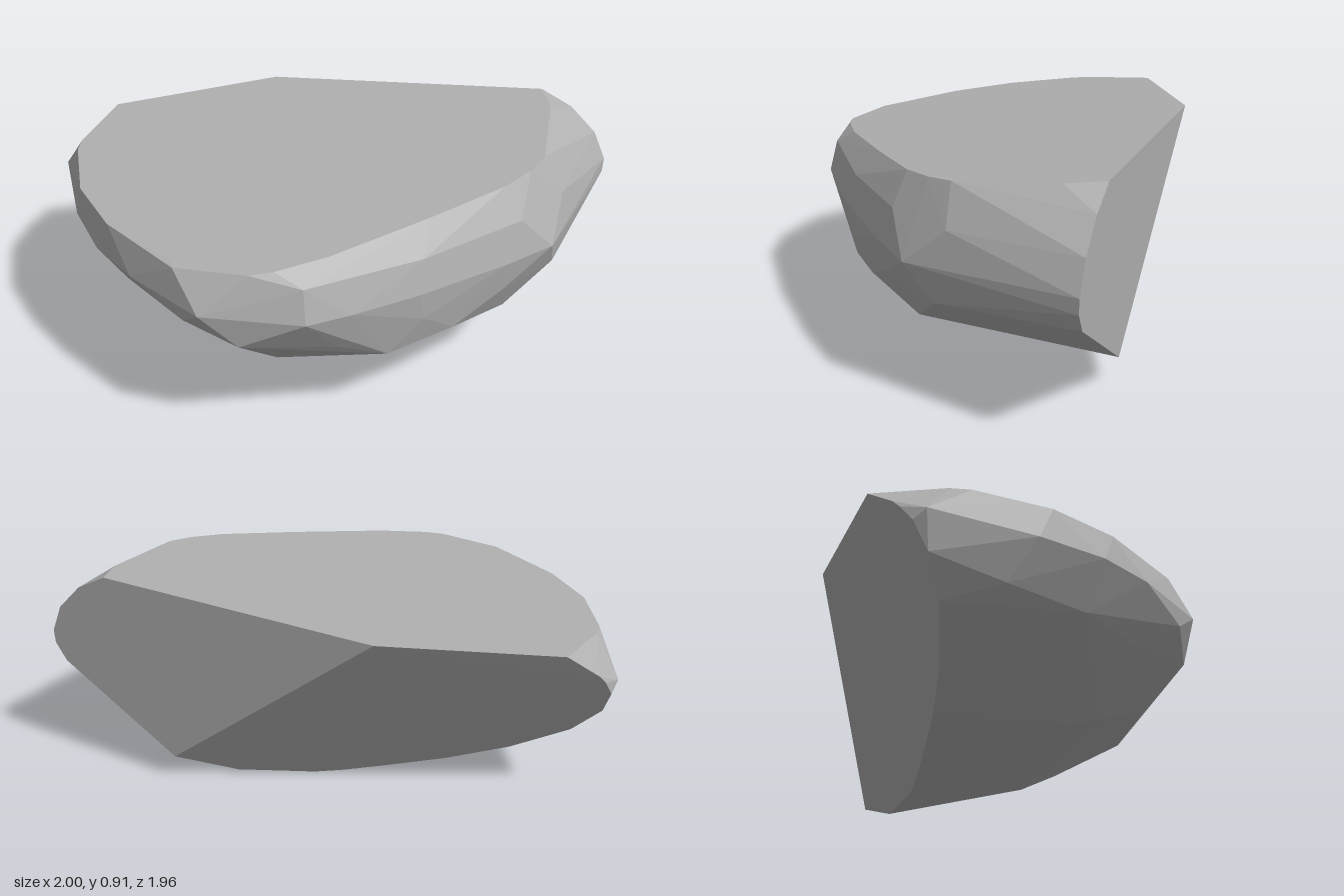
import * as THREE from 'three';
import { ConvexGeometry } from 'three/addons/geometries/ConvexGeometry.js';

const V = (x, y, z) => new THREE.Vector3(x, y, z);

// The three flat cuts of the stone, each solved for one coordinate
const onTop = ([x, z]) => V(x, 0.832 + 0.101 * x, z);
const onSideCut = ([y, z]) => V(0.558 + 0.03 * y + 0.527 * z, y, z);
const onBackCut = ([y, z]) => V(0.2155 + 0.884 * y + 1.28 * z, y, z);

// Rim of the sloping top, as x, z
const topRim = [
  [-0.28, -0.94], [0.31, -0.52], [0.87, 0.54], [0.76, 0.65], [0.58, 0.73], [0.4, 0.84],
  [0.28, 0.85], [0.13, 0.83], [-0.2, 0.72], [-0.6, 0.57], [-0.78, 0.47], [-0.85, 0.41],
  [-0.95, 0.13], [-0.93, -0.25], [-0.83, -0.53], [-0.64, -0.78], [-0.57, -0.83],
];

// Rim of the side cut, as y, z
const sideRim = [
  [0.85, 0.66], [0.74, 0.76], [0.62, 0.81], [0.56, 0.81], [0.48, 0.77], [0.41, 0.68], [0.12, 0.32],
];

// Rim of the undercut back, as y, z
const backRim = [
  [0.69, -0.98], [0.65, -0.983], [0.58, -0.975], [0.47, -0.92], [0.34, -0.8], [0.21, -0.6],
  [0.12, -0.4], [0.055, -0.2], [0.02, -0.08], [0.005, 0], [0.02, 0.2],
];

// Widest line, from the front corner round the left to the back
const girth = [
  [0.28, 0.57, 0.98], [0.05, 0.57, 0.92], [-0.34, 0.57, 0.79], [-0.6, 0.57, 0.68],
  [-0.76, 0.57, 0.6], [-1, 0.6, 0.3], [-0.98, 0.6, -0.08], [-0.93, 0.6, -0.33],
  [-0.81, 0.6, -0.6], [-0.57, 0.62, -0.96],
];

// Facets between the top and the widest line
const shoulder = [
  [0.45, 0.72, 0.91], [0.14, 0.72, 0.91], [-0.3, 0.7, 0.77], [-0.74, 0.7, 0.57], [-0.97, 0.73, 0.15],
];

// Facets curving in beneath the widest line
const belly = [
  [0.87, 0.47, 0.77], [0.39, 0.43, 0.93], [0.06, 0.44, 0.9], [-0.31, 0.45, 0.79],
  [-0.6, 0.4, 0.62], [-0.9, 0.46, 0.4], [-0.98, 0.53, 0.2], [-0.86, 0.41, 0.08],
  [-0.82, 0.42, -0.3], [-0.69, 0.43, -0.64], [0.18, 0.28, 0.84], [-0.15, 0.34, 0.82],
  [-0.42, 0.31, 0.71], [-0.7, 0.3, 0.4], [-0.1, 0.22, 0.68], [0.02, 0.15, 0.58],
  [-0.6, 0.22, 0.2], [-0.5, 0.18, 0.1], [-0.52, 0.25, -0.3], [-0.25, 0.11, 0.05], [0, 0.06, 0.1],
];

export function createModel() {
  const group = new THREE.Group();
  group.name = 'rock';
  const stone = new THREE.MeshStandardMaterial({ color: 0xb0b0b0 });
  stone.name = 'stone grey';

  // One faceted stone spanning all the rims
  const points = [
    ...topRim.map(onTop),
    ...sideRim.map(onSideCut),
    ...backRim.map(onBackCut),
    ...[...girth, ...shoulder, ...belly].map((p) => V(...p)),
  ];
  const rock = new THREE.Mesh(new ConvexGeometry(points), stone);
  rock.name = 'stone';
  group.add(rock);
  return group;
}
